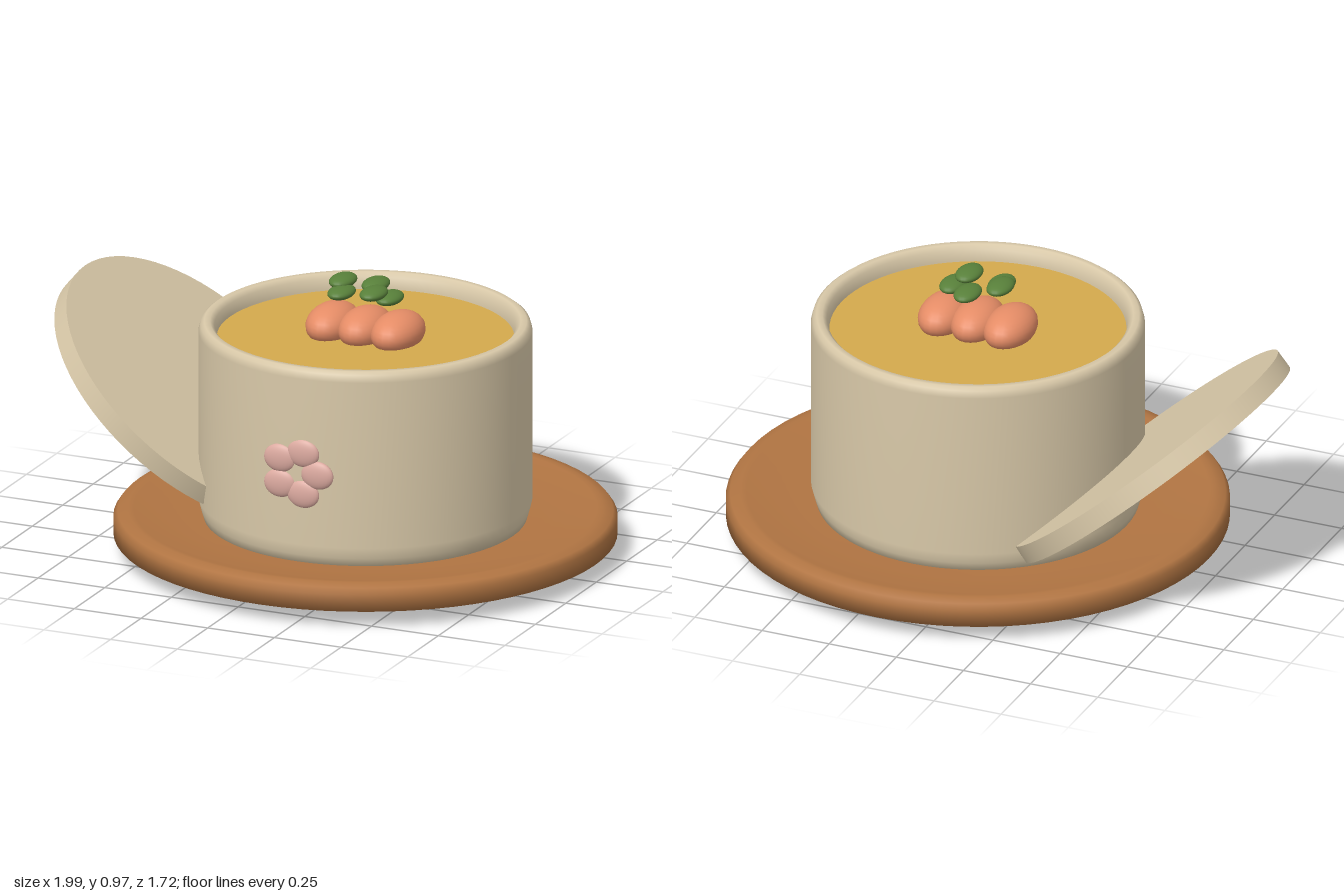
import * as THREE from 'three';

const mat = (name, color, side = THREE.FrontSide) => {
  const m = new THREE.MeshStandardMaterial({ color, side });
  m.name = name;
  return m;
};

export function createModel() {
  const model = new THREE.Group();
  const cream = mat('cream ceramic', 0xd8c8a8);
  const wood = mat('brown wood', 0xb07442);
  const custard = mat('golden custard', 0xd4a94c);
  const coral = mat('coral topping', 0xe58c66);
  const green = mat('leaf green', 0x58803a);
  const pink = mat('pink glaze', 0xdcaaa0);
  const cx = 0.135; // axis of the saucer and pot

  const add = (name, geometry, material, x, y, z, parent = model) => {
    const mesh = new THREE.Mesh(geometry, material);
    mesh.name = name;
    mesh.position.set(x, y, z);
    parent.add(mesh);
    return mesh;
  };
  const lathe = (pts) =>
    new THREE.LatheGeometry(pts.map(([r, y]) => new THREE.Vector2(r, y)), 72);
  const ellipsoid = (rx, ry, rz) => new THREE.SphereGeometry(1, 24, 16).scale(rx, ry, rz);
  const group = (name) => {
    const g = new THREE.Group();
    g.name = name;
    model.add(g);
    return g;
  };

  // Wooden saucer with a shallow dished top
  add('saucer', lathe([[0, 0], [0.6, 0], [0.61, 0.001], [0.86, 0.06], [0.86, 0.12],
    [0.845, 0.14], [0.81, 0.15], [0.79, 0.148], [0.6, 0.122], [0, 0.12]]), wood, cx, 0, 0);

  // Pot with softened foot and rolled rim, open at the top
  add('pot', lathe([[0, 0.115], [0.55, 0.115], [0.56, 0.15], [0.57, 0.19], [0.57, 0.785],
    [0.563, 0.81], [0.55, 0.82], [0.53, 0.82], [0.515, 0.805], [0.507, 0.77], [0.505, 0.7]]),
  cream, cx, 0, 0);

  // Filling
  add('custard', new THREE.CylinderGeometry(0.507, 0.507, 0.04, 72), custard, cx, 0.745, 0);

  // Lid leaning against the side of the pot
  const lid = add('lid', new THREE.CylinderGeometry(0.56, 0.56, 0.07, 72), cream,
    -0.549, 0.455, -0.085);
  lid.rotation.z = -0.7;

  // Three plump toppings in a row
  const toppings = group('toppings');
  for (const i of [-1, 0, 1]) {
    add('topping', ellipsoid(0.085, 0.07, 0.13), coral, cx + i * 0.122, 0.798, 0, toppings);
  }

  // Scattered leaves
  const leaves = group('leaves');
  [[0.045, 0.95, -0.013], [0.067, 0.928, 0.047], [0.142, 0.932, -0.07],
    [0.19, 0.942, 0.052], [0.227, 0.916, 0.002]].forEach(([x, y, z]) =>
    add('leaf', ellipsoid(0.044, 0.022, 0.068), green, x, y, z, leaves));

  // Five-petal flower on the front of the pot
  const flower = group('flower');
  for (let i = 0; i < 5; i++) {
    const a = (i * Math.PI * 2) / 5;
    add('petal', ellipsoid(0.06, 0.05, 0.02), pink,
      cx + 0.077 * Math.cos(a), 0.445 + 0.077 * Math.sin(a), 0.564, flower);
  }

  return model;
}
